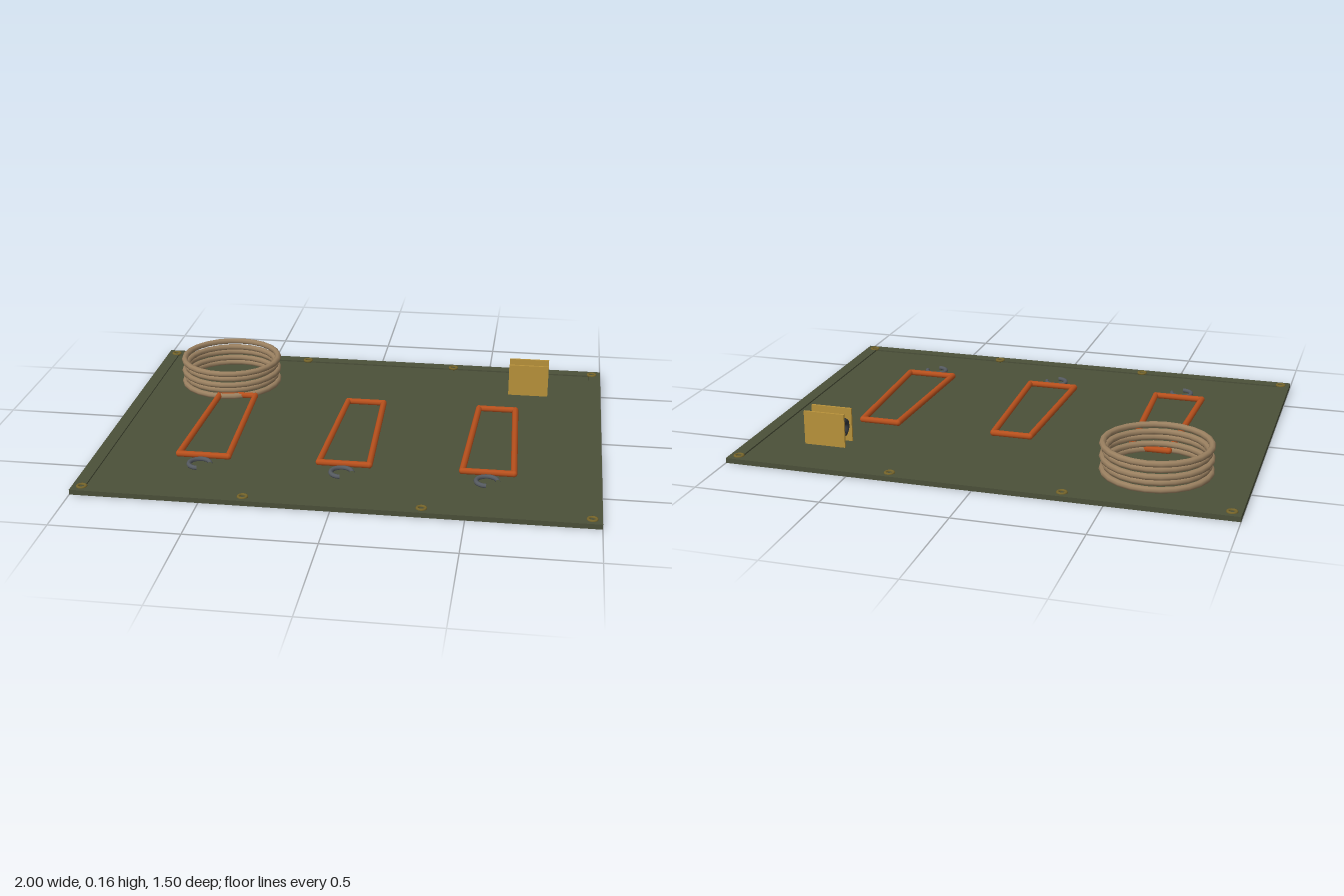
import * as THREE from 'three';

const mat = (color) => new THREE.MeshStandardMaterial({ color });
const olive = mat(0x4b5039), brass = mat(0xb8923a), darkBrass = mat(0x75642a);
const rope = mat(0x9a8060), orange = mat(0xb8501c), steel = mat(0x555a60), cord = mat(0x34383c);

function add(parent, name, geometry, material, x = 0, y = 0, z = 0) {
  const mesh = new THREE.Mesh(geometry, material);
  mesh.name = name;
  mesh.position.set(x, y, z);
  parent.add(mesh);
  return mesh;
}

// Round bar between two points
function bar(parent, name, a, b, radius, material) {
  const dir = b.clone().sub(a);
  const mesh = add(parent, name, new THREE.CylinderGeometry(radius, radius, dir.length(), 8), material);
  mesh.position.copy(a).add(b).multiplyScalar(0.5);
  mesh.quaternion.setFromUnitVectors(new THREE.Vector3(0, 1, 0), dir.normalize());
}

// Ring lying flat
function flatRing(parent, name, r, tube, material, x, y, z, segments = 24, arc = Math.PI * 2) {
  const geometry = new THREE.TorusGeometry(r, tube, 8, segments, arc).rotateX(-Math.PI / 2);
  return add(parent, name, geometry, material, x, y, z);
}

function createSheet() {
  const sheet = new THREE.Group();
  sheet.name = 'groundSheet';
  add(sheet, 'sheet', new THREE.BoxGeometry(1.98, 0.014, 1.48), olive, 0, 0.007, 0);
  // Raised hems along the four edges
  for (const s of [-1, 1]) {
    add(sheet, 'longHem', new THREE.BoxGeometry(2, 0.02, 0.05), olive, 0, 0.01, s * 0.725);
    add(sheet, 'sideHem', new THREE.BoxGeometry(0.05, 0.02, 1.4), olive, s * 0.975, 0.01, 0);
    for (const x of [-0.962, -0.337, 0.337, 0.962])
      flatRing(sheet, 'grommet', 0.016, 0.006, darkBrass, x, 0.02, s * 0.712, 16);
  }
  return sheet;
}

function createCoil() {
  const coil = new THREE.Group();
  coil.name = 'ropeCoil';
  for (let i = 0; i < 5; i++)
    flatRing(coil, 'ropeTurn', i % 2 ? 0.198 : 0.207, 0.013, rope, 0, 0.03 + i * 0.0255, 0);
  coil.position.set(-0.63, 0, -0.417);
  return coil;
}

// Tapered wire frame with an open hook at its wide end
function createFrame(x) {
  const frame = new THREE.Group();
  frame.name = 'taperedFrame';
  const y = 0.032;
  const corners = [[-0.077, -0.23], [0.077, -0.23], [0.1, 0.397], [-0.1, 0.397]]
    .map(([px, pz]) => new THREE.Vector3(px, y, pz));
  corners.forEach((p, i) => {
    bar(frame, 'frameBar', p, corners[(i + 1) % 4], 0.013, orange);
    add(frame, 'frameCorner', new THREE.SphereGeometry(0.013, 8, 6), orange, p.x, p.y, p.z);
  });
  flatRing(frame, 'hook', 0.042, 0.009, steel, 0, 0.027, 0.465, 16, Math.PI * 1.5);
  frame.position.x = x;
  return frame;
}

// Two square plates with cord wound between them
function createWinder() {
  const winder = new THREE.Group();
  winder.name = 'cordWinder';
  for (const s of [-1, 1])
    add(winder, 'plate', new THREE.BoxGeometry(0.17, 0.138, 0.009), brass, 0, 0.087, s * 0.038);
  for (let i = 0; i < 5; i++)
    add(winder, 'cordTurn', new THREE.TorusGeometry(0.026, 0.012, 8, 16).rotateY(Math.PI / 2),
      cord, -0.066 + i * 0.033, 0.087, 0);
  winder.position.set(0.685, 0, -0.475);
  return winder;
}

export function createModel() {
  const model = new THREE.Group();
  model.name = 'campKit';
  model.add(createSheet(), createCoil(), createWinder());
  for (const x of [-0.563, 0, 0.563]) model.add(createFrame(x));
  return model;
}
